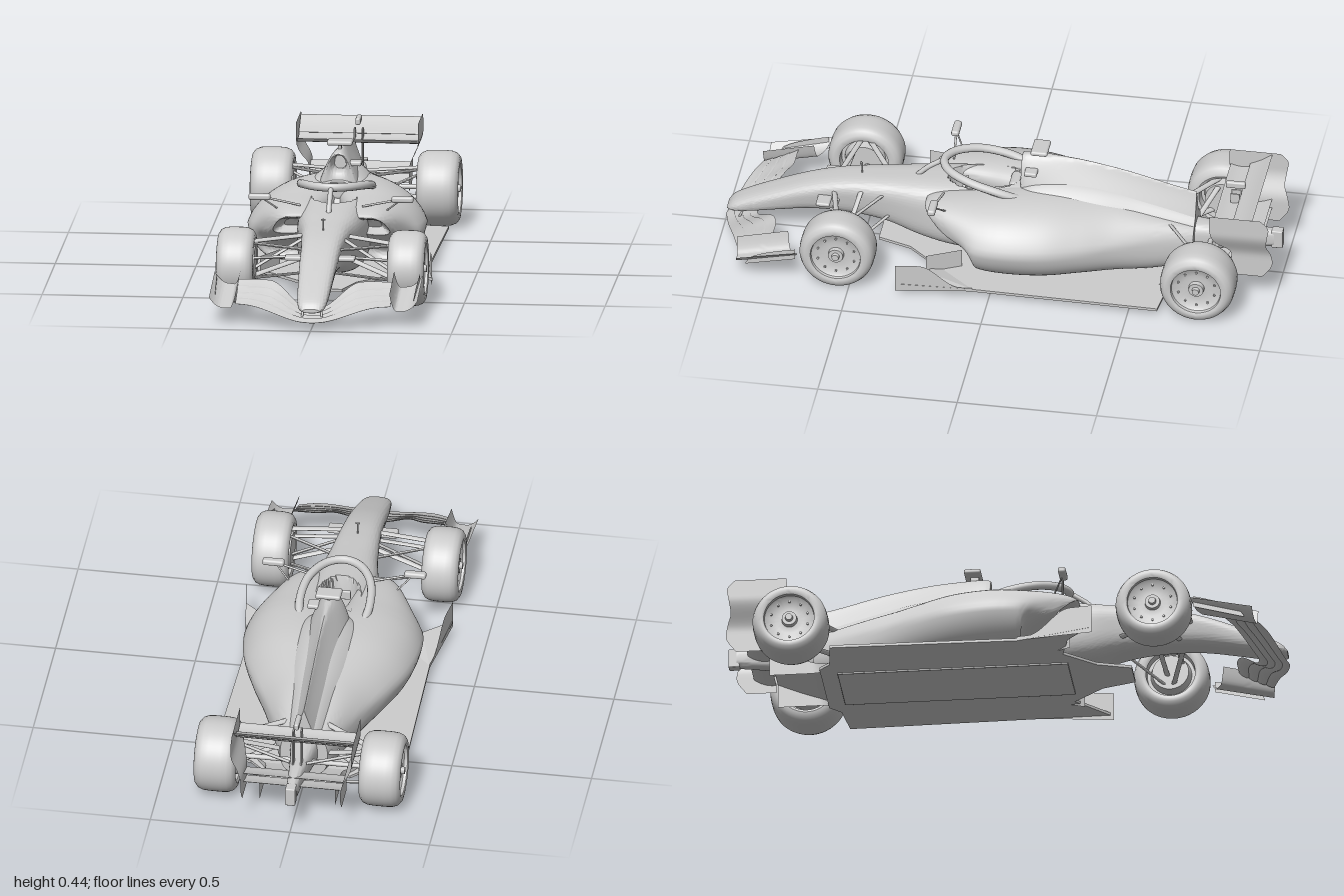
import * as THREE from 'three';
import { toCreasedNormals } from 'three/addons/utils/BufferGeometryUtils.js';
import { RoundedBoxGeometry } from 'three/addons/geometries/RoundedBoxGeometry.js';

const grey = new THREE.MeshStandardMaterial({ color: 0xcccccc, side: THREE.DoubleSide });
grey.name = 'paint grey';
const { lerp, smoothstep } = THREE.MathUtils;

export function createModel() {
  const car = new THREE.Group();
  car.name = 'racingCar';

  const add = (name, geo, x = 0, y = 0, z = 0) => {
    const m = new THREE.Mesh(geo, grey);
    m.name = name;
    m.position.set(x, y, z);
    car.add(m);
    return m;
  };
  const box = (name, w, h, d, x, y, z, r = 0.004) => add(name, new RoundedBoxGeometry(w, h, d, 2, r), x, y, z);

  // Grid surface from fn(u, v) -> [x, y, z]
  const sheet = (fn, nu, nv, crease = 0.7) => {
    const pos = [], idx = [];
    for (let i = 0; i <= nu; i++) for (let j = 0; j <= nv; j++) {
      pos.push(...fn(i / nu, j / nv));
      if (i < nu && j < nv) {
        const a = i * (nv + 1) + j, b = a + nv + 1;
        idx.push(a, b, b + 1, a, b + 1, a + 1);
      }
    }
    const g = new THREE.BufferGeometry();
    g.setAttribute('position', new THREE.Float32BufferAttribute(pos, 3));
    g.setIndex(idx);
    return toCreasedNormals(g, crease);
  };

  // Smooth interpolation through table rows
  const rowAt = (rows, u) => {
    const f = u * (rows.length - 1), i = Math.min(Math.floor(f), rows.length - 2), t = f - i;
    const [a, b, c, d] = [i - 1, i, i + 1, i + 2].map(k => rows[Math.min(Math.max(k, 0), rows.length - 1)]);
    return b.map((p, k) => p + 0.5 * t * (c[k] - a[k] + t * (2 * a[k] - 5 * p + 4 * c[k] - d[k] + t * (3 * (p - c[k]) + d[k] - a[k]))));
  };

  // Capped loft, rows front to back: [z, centre x, half width, bottom y, top y, roundness, taper]
  const loft = (rows, nu, nv, s = 1, tweak = p => p) => sheet((u, v) => {
    const cap = u === 0 || u === 1 ? 0 : 1;
    const t = Math.min(Math.max((u * nu - 1) / (nu - 2), 0), 1);
    const [z, cx, hw, yb, yt, n, taper] = rowAt(rows, t);
    const a = (v - 0.25) * Math.PI * 2, c = Math.cos(a), q = Math.sin(a);
    const e = w => Math.sign(w) * Math.abs(w) ** (2 / n);
    const k = e(q) / 2;
    return tweak([s * cx + cap * hw * e(c) * (1 + taper * k), (yb + yt) / 2 + cap * (yt - yb) * k, z]);
  }, nu, nv);

  // Wing: at(x) gives [front z, front y, back z, back y, thickness, sag]
  const wing = (name, x0, x1, at, nx = 1) => add(name, sheet((u, v) => {
    const x = lerp(x0, x1, u), [z0, y0, z1, y1, th, sag] = at(x);
    const a = v * Math.PI * 2, c = (1 - Math.cos(a)) / 2;
    return [x, lerp(y0, y1, c) + th * Math.sin(a) - sag * 4 * c * (1 - c), lerp(z0, z1, c)];
  }, nx, 20, 1));

  // Straight rod; chord stretches it along z into a blade
  const rod = (name, a, b, r = 0.005, chord = 1) => {
    const p = new THREE.Vector3(...a), q = new THREE.Vector3(...b);
    const m = add(name, new THREE.CylinderGeometry(r, r, p.distanceTo(q), 12));
    m.position.copy(p).lerp(q, 0.5);
    m.scale.z = chord;
    m.quaternion.setFromUnitVectors(new THREE.Vector3(0, 1, 0), q.sub(p).normalize());
  };
  const tube = (name, pts, r) => add(name, new THREE.TubeGeometry(
    new THREE.CatmullRomCurve3(pts.map(p => new THREE.Vector3(...p))), 48, r, 12));

  // Nose and cockpit tub, with the cockpit opening sunk into its top
  add('noseAndTub', loft([
    [0.99, 0, 0.03, 0.068, 0.082, 2.2, 0], [0.965, 0, 0.047, 0.064, 0.108, 2.5, 0],
    [0.9, 0, 0.055, 0.072, 0.14, 2.8, 0.1], [0.8, 0, 0.06, 0.09, 0.182, 3, 0.2],
    [0.7, 0, 0.064, 0.105, 0.22, 3, 0.3], [0.6, 0, 0.068, 0.11, 0.247, 3.2, 0.3],
    [0.5, 0, 0.076, 0.105, 0.262, 3.2, 0.3], [0.4, 0, 0.088, 0.09, 0.272, 3.2, 0.2],
    [0.3, 0, 0.108, 0.06, 0.282, 3.2, 0.1], [0.2, 0, 0.122, 0.04, 0.29, 3.2, 0],
    [0.1, 0, 0.127, 0.03, 0.298, 3.2, 0], [0, 0, 0.125, 0.03, 0.305, 3.2, 0],
    [-0.14, 0, 0.12, 0.03, 0.31, 3, 0]], 110, 128, 1, p => {
    const e = (p[0] / 0.08) ** 2 + ((p[2] - 0.07) / 0.125) ** 2;
    if (e < 1 && p[1] > 0.2) p[1] -= 0.13 * Math.min(1, (1 - e) * 5);
    return p;
  }));
  box('headrest', 0.1, 0.06, 0.05, 0, 0.275, -0.045, 0.02);
  box('seat', 0.1, 0.1, 0.03, 0, 0.21, -0.015, 0.012).rotation.x = -0.4;
  box('steeringWheel', 0.07, 0.035, 0.012, 0, 0.25, 0.14);

  // Engine cover with air intake, narrowing to a fin
  add('engineCover', loft([
    [-0.14, 0, 0.02, 0.34, 0.39, 2.4, -0.3], [-0.075, 0, 0.028, 0.33, 0.4, 2.4, -0.3],
    [-0.07, 0, 0.06, 0.2, 0.412, 2.4, -0.8], [-0.11, 0, 0.08, 0.12, 0.416, 2.4, -1],
    [-0.2, 0, 0.092, 0.08, 0.412, 2.3, -1.4], [-0.3, 0, 0.09, 0.07, 0.402, 2.2, -1.65],
    [-0.45, 0, 0.074, 0.06, 0.374, 2.2, -1.75], [-0.6, 0, 0.056, 0.06, 0.335, 2.4, -1.8],
    [-0.69, 0, 0.045, 0.06, 0.315, 2.5, -1.8]], 70, 56));
  // Rounded shoulders joining the cover to the sidepods
  add('coverShoulders', loft([
    [-0.06, 0, 0.12, 0.12, 0.308, 2.4, -0.1], [-0.12, 0, 0.142, 0.1, 0.333, 2.2, -0.3],
    [-0.22, 0, 0.148, 0.08, 0.34, 2, -0.4], [-0.35, 0, 0.128, 0.07, 0.325, 2, -0.4],
    [-0.5, 0, 0.1, 0.06, 0.29, 2, -0.4], [-0.69, 0, 0.07, 0.06, 0.235, 2.2, -0.3]], 50, 48));
  box('cameraPod', 0.09, 0.017, 0.06, 0, 0.437, -0.13, 0.007);
  box('cameraPodStalk', 0.012, 0.03, 0.03, 0, 0.42, -0.125);
  box('sensorPod', 0.042, 0.017, 0.045, 0.058, 0.368, -0.105, 0.006);
  rod('sensorPodStalk', [0.02, 0.35, -0.11], [0.05, 0.366, -0.11]);

  // Halo
  tube('haloRing', [[-0.114, 0.285, -0.08], [-0.125, 0.313, 0.0], [-0.11, 0.337, 0.11], [-0.06, 0.347, 0.19], [0, 0.349, 0.215],
    [0.06, 0.347, 0.19], [0.11, 0.337, 0.11], [0.125, 0.313, 0.0], [0.114, 0.285, -0.08]], 0.015);
  tube('haloPillar', [[0, 0.265, 0.32], [0, 0.31, 0.275], [0, 0.348, 0.22]], 0.009);

  // Tail crash structure and rear light
  add('tailStructure', loft([[-0.62, 0, 0.06, 0.07, 0.2, 3, 0], [-0.75, 0, 0.04, 0.09, 0.19, 3, 0],
    [-0.88, 0, 0.026, 0.11, 0.19, 3, 0], [-0.97, 0, 0.02, 0.12, 0.185, 3, 0]], 20, 32));
  box('rearLight', 0.036, 0.07, 0.04, 0, 0.152, -0.98);

  // Floor with raised front flares, and plank
  const half = [[0.06, 0.44], [0.1, 0.32], [0.2, 0.21], [0.275, 0.235], [0.37, 0.32], [0.33, 0.06], [0.342, -0.605], [0.2, -0.62], [0.16, -0.66]];
  const outline = [...half, ...half.map(([x, z]) => [-x, z]).reverse()].map(([x, z]) => new THREE.Vector2(x, z));
  const floorGeo = new THREE.ExtrudeGeometry(new THREE.Shape(outline), { depth: 0.01, bevelEnabled: false });
  const fp = floorGeo.attributes.position;
  for (let i = 0; i < fp.count; i++) if (Math.abs(fp.getX(i)) > 0.25 && fp.getY(i) > 0.2) fp.setZ(i, fp.getZ(i) - 0.02);
  floorGeo.computeVertexNormals();
  add('floor', floorGeo, 0, 0.032, 0).rotation.x = Math.PI / 2;
  box('plank', 0.26, 0.008, 0.82, 0, 0.02, -0.19, 0.003);
  const diffuserX = u => lerp(0.19, 0.135, smoothstep(u, 0, 0.4));
  add('diffuser', sheet((u, v) => [(2 * v - 1) * diffuserX(u), 0.025 + 0.085 * u ** 1.4, lerp(-0.58, -0.84, u)], 12, 1));

  // Front wing of four stacked elements
  const wingPoint = (x, s) => {
    const a = Math.abs(x);
    const z0 = lerp(0.997, 0.912, (a / 0.275) ** 1.2), z1 = lerp(0.89, 0.79, smoothstep(a, 0, 0.2));
    const y0 = 0.036 + 0.045 * smoothstep(a, 0.02, 0.24), y1 = 0.06 + 0.078 * smoothstep(a, 0.02, 0.16);
    return [lerp(z0, z1, s), lerp(y0, y1, s ** 1.2)];
  };
  for (let k = 0; k < 4; k++) wing('frontWingElement', -0.275, 0.275, x => {
    const [z0, y0] = wingPoint(x, k / 4), [z1, y1] = wingPoint(x, (k + 1) / 4);
    return [z0, y0 - 0.002, z1 - 0.004, y1 + 0.003, 0.003, 0.003];
  }, 40);
  box('noseCameraBar', 0.25, 0.015, 0.05, 0, 0.188, 0.632, 0.006);
  rod('pitotTube', [0, 0.25, 0.51], [0, 0.302, 0.51], 0.003);
  rod('pitotTip', [-0.008, 0.3, 0.515], [0.008, 0.3, 0.515], 0.003);

  // Rear wing planes
  wing('rearWingMainPlane', -0.214, 0.214, () => [-0.775, 0.3, -0.87, 0.305, 0.006, 0.016]);
  wing('rearWingFlap', -0.214, 0.214, () => [-0.845, 0.308, -0.925, 0.355, 0.005, 0.008]);
  for (const y of [0.13, 0.165]) wing('beamWing', -0.178, 0.178, () => [-0.85, y, -0.93, y + 0.025, 0.004, 0.006]);
  box('flapActuator', 0.018, 0.025, 0.07, 0, 0.36, -0.83, 0.006);

  // Wheel turned as one profile: tyre, recessed rim and hub
  const wheel = (name, s, z, w) => {
    const h = w / 2, R = 0.134, g = new THREE.Group();
    const profile = [[0, -h * 0.5], [0.085, -h * 0.5], [0.088, -h * 0.93], [0.098, -h], [0.112, -h * 0.97], [0.125, -h * 0.83],
      [0.132, -h * 0.6], [R, -h * 0.3], [R, h * 0.3], [0.132, h * 0.6], [0.125, h * 0.83], [0.112, h * 0.97], [0.098, h],
      [0.09, h * 0.95], [0.088, h * 0.8], [0.08, h * 0.72], [0.05, h * 0.6], [0.028, h * 0.62], [0.026, h * 0.85],
      [0.014, h * 0.85], [0.012, h * 1.02], [0, h * 1.02]].map(p => new THREE.Vector2(...p));
    const part = (n, geo) => { const m = new THREE.Mesh(geo, grey); m.name = n; g.add(m); return m; };
    part('tyreAndRim', toCreasedNormals(new THREE.LatheGeometry(profile, 56), 0.6));
    part('brakeDrum', new THREE.CylinderGeometry(0.075, 0.065, h * 0.6, 32)).position.y = -h * 0.7;
    for (let i = 0; i < 10; i++) {
      const a = i * Math.PI / 5;
      part('rimStud', new THREE.CylinderGeometry(0.004, 0.004, 0.01, 8)).position.set(Math.cos(a) * 0.068, h * 0.69, Math.sin(a) * 0.068);
    }
    g.name = name;
    g.rotation.z = -s * Math.PI / 2;
    g.position.set(s * (0.37 - h), 0.138, z);
    car.add(g);
  };

  for (const s of [1, -1]) {
    const side = s > 0 ? 'left' : 'right';
    wheel(side + 'FrontWheel', s, 0.545, 0.132);
    wheel(side + 'RearWheel', s, -0.747, 0.15);

    // Sidepod: undercut below, shoulders leaning inward, inlet's upper lip reaching forward
    add(side + 'Sidepod', loft([
      [0.15, 0.16, 0.03, 0.19, 0.22, 3, 0], [0.215, 0.165, 0.052, 0.175, 0.24, 3, 0],
      [0.225, 0.165, 0.062, 0.165, 0.255, 3, 0], [0.15, 0.18, 0.09, 0.09, 0.278, 2.6, 0.25],
      [0.06, 0.185, 0.122, 0.05, 0.293, 2.3, 0.3], [-0.05, 0.175, 0.142, 0.035, 0.304, 2.2, 0.3],
      [-0.18, 0.15, 0.147, 0.03, 0.304, 2.2, 0.2], [-0.3, 0.11, 0.14, 0.03, 0.292, 2.2, 0.1],
      [-0.42, 0.08, 0.11, 0.03, 0.27, 2.2, 0], [-0.55, 0.055, 0.08, 0.03, 0.236, 2.4, 0],
      [-0.69, 0.04, 0.045, 0.05, 0.2, 2.5, 0]], 80, 56, s, ([x, y, z]) => [
      x - s * 0.55 * Math.max(0, y - 0.17) * smoothstep(z, -0.69, -0.3), y,
      z + smoothstep(z, 0.05, 0.2) * (y - 0.22)]));

    // Mirror
    box(side + 'Mirror', 0.078, 0.022, 0.028, s * 0.254, 0.311, 0.215, 0.008);
    rod('mirrorStalk', [s * 0.225, 0.306, 0.212], [s * 0.11, 0.28, 0.2], 0.004);
    rod('mirrorStay', [s * 0.24, 0.302, 0.21], [s * 0.18, 0.25, 0.17], 0.003);

    // Floor fences
    add(side + 'FloorFence', sheet((u, v) => [s * lerp(0.37, 0.33, u), lerp(0.024, 0.128 - 0.09 * smoothstep(u, 0.3, 0.85), v),
      lerp(0.33, 0.06, u)], 16, 1));
    add(side + 'InnerFence', sheet((u, v) => [s * lerp(0.25, 0.19, u), lerp(0.024, 0.1, v), lerp(0.24, 0.12, u)], 4, 1));
    add(side + 'DiffuserWall', sheet((u, v) => [s * diffuserX(u), lerp(0.022, 0.03 + 0.085 * u, v), lerp(-0.58, -0.84, u)], 12, 1));

    // Front wing endplate: scooped foot with an upright fin
    add(side + 'FrontEndplate', sheet((u, v) => [s * lerp(0.272, 0.37, v),
      0.062 + 0.045 * u + 0.06 * Math.max(0, 1 - v / 0.25) ** 2 + 0.035 * Math.max(0, (v - 0.5) / 0.5) ** 2,
      lerp(lerp(0.913, 0.9, v), lerp(0.73, 0.68, v), u)], 12, 24));
    add(side + 'FrontEndplateFin', sheet((u, v) => [s * (0.352 + 0.008 * u),
      lerp(0.065 + 0.045 * u, 0.07 + 0.08 * Math.sqrt(u), v), lerp(0.87, 0.69, u)], 10, 1));
    rod('frontWingMount', [s * 0.035, 0.045, 0.945], [s * 0.03, 0.08, 0.93], 0.004);

    // Rear wing endplate, curving inward below the wing
    const edge = [[0.1, -0.85, -0.955], [0.15, -0.845, -0.99], [0.2, -0.84, -0.985], [0.24, -0.79, -0.972],
      [0.29, -0.772, -0.978], [0.33, -0.77, -0.982], [0.36, -0.772, -0.955]];
    add(side + 'RearEndplate', sheet((u, v) => {
      const [y, z0, z1] = rowAt(edge, u);
      return [s * lerp(0.178, 0.216, smoothstep(y, 0.18, 0.29)), y, lerp(z0, z1, v)];
    }, 24, 2, 1));
    box('rearWingPylon', 0.006, 0.2, 0.035, s * 0.014, 0.23, -0.83, 0.002);

    // Front suspension
    const arm = (name, a, b) => rod(name, [s * a[0], a[1], a[2]], [s * b[0], b[1], b[2]], 0.005, 1.9);
    arm('frontUpperArm', [0.07, 0.222, 0.42], [0.27, 0.218, 0.53]);
    arm('frontUpperArm', [0.06, 0.21, 0.6], [0.27, 0.222, 0.555]);
    arm('frontLowerArm', [0.07, 0.14, 0.4], [0.27, 0.09, 0.54]);
    arm('frontLowerArm', [0.05, 0.13, 0.61], [0.27, 0.09, 0.55]);
    arm('frontPushRod', [0.06, 0.235, 0.5], [0.27, 0.11, 0.54]);
    arm('steeringArm', [0.05, 0.185, 0.59], [0.27, 0.17, 0.585]);

    // Rear suspension and drive shaft
    arm('rearUpperArm', [0.06, 0.21, -0.6], [0.25, 0.21, -0.73]);
    arm('rearUpperArm', [0.03, 0.18, -0.82], [0.25, 0.21, -0.76]);
    arm('rearLowerArm', [0.06, 0.11, -0.58], [0.25, 0.09, -0.73]);
    arm('rearLowerArm', [0.03, 0.12, -0.84], [0.25, 0.09, -0.77]);
    arm('rearPullRod', [0.05, 0.12, -0.66], [0.25, 0.2, -0.74]);
    rod('driveShaft', [s * 0.03, 0.14, -0.747], [s * 0.25, 0.14, -0.747], 0.009);
  }
  return car;
}
